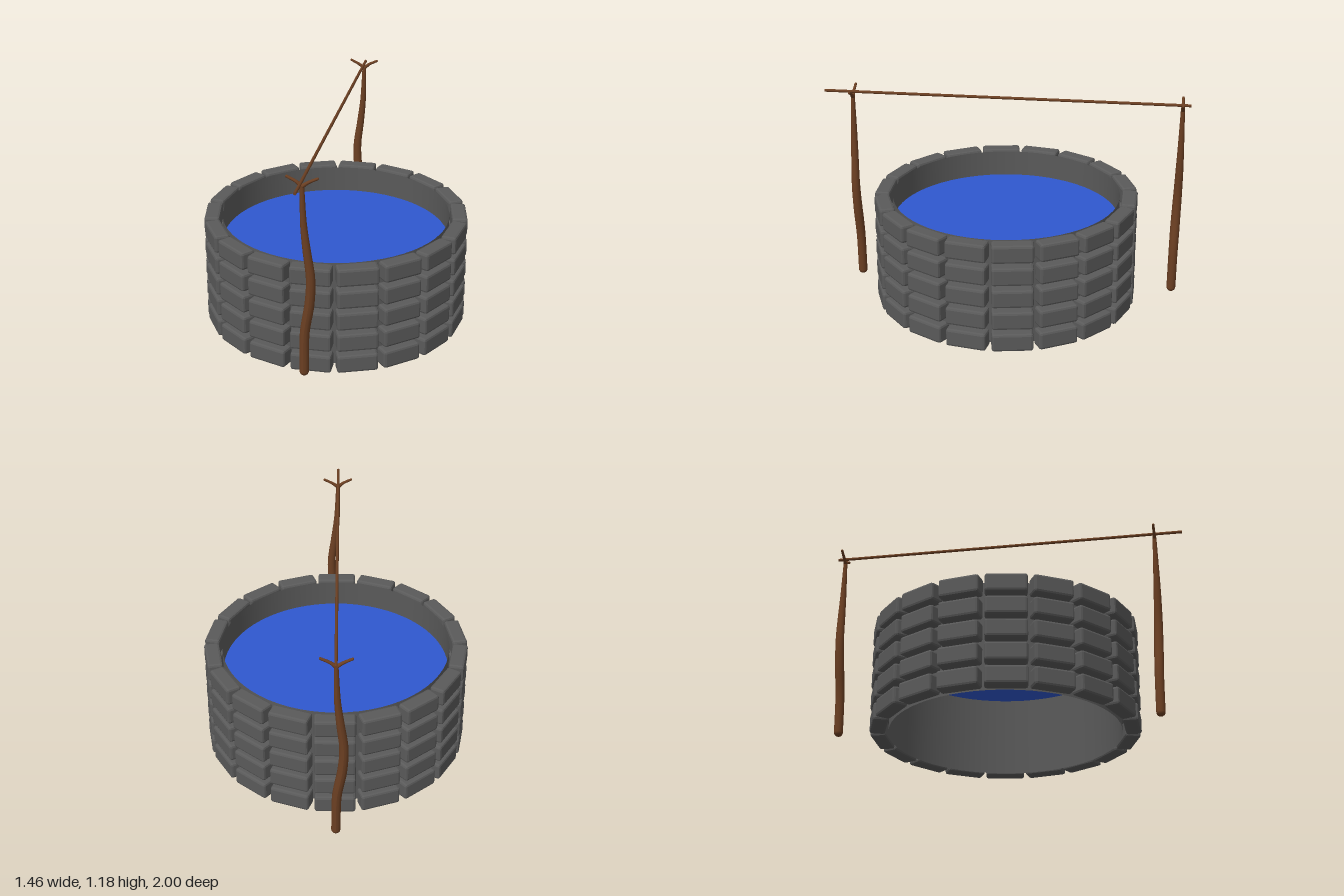
import * as THREE from 'three';
import { RoundedBoxGeometry } from 'three/addons/geometries/RoundedBoxGeometry.js';

const stoneMat = new THREE.MeshStandardMaterial({ color: 0x5a5a5a, flatShading: true });
const wallMat = new THREE.MeshStandardMaterial({ color: 0x5a5a5a, side: THREE.DoubleSide });
const waterMat = new THREE.MeshStandardMaterial({ color: 0x2f58cf, side: THREE.DoubleSide });
const woodMat = new THREE.MeshStandardMaterial({ color: 0x6b3f22 });

function add(parent, name, geometry, material, x = 0, y = 0, z = 0) {
  const mesh = new THREE.Mesh(geometry, material);
  mesh.name = name;
  mesh.position.set(x, y, z);
  parent.add(mesh);
  return mesh;
}

// Round limb along a curve whose radius follows a list of evenly spaced values
function limb(parent, name, points, radii) {
  const path = new THREE.CatmullRomCurve3(points.map(p => new THREE.Vector3(...p)));
  const rings = 32, sides = 14;
  const geo = new THREE.TubeGeometry(path, rings, 1, sides);
  const pos = geo.attributes.position;
  const v = new THREE.Vector3();
  for (let i = 0; i <= rings; i++) {
    const t = (i / rings) * (radii.length - 1);
    const k = Math.min(Math.floor(t), radii.length - 2);
    const r = THREE.MathUtils.lerp(radii[k], radii[k + 1], t - k);
    const c = path.getPointAt(i / rings);
    for (let j = 0; j <= sides; j++) {
      const n = i * (sides + 1) + j;
      v.fromBufferAttribute(pos, n).sub(c).multiplyScalar(r).add(c);
      pos.setXYZ(n, v.x, v.y, v.z);
    }
  }
  geo.computeVertexNormals();
  add(parent, name, geo, woodMat);
  // Rounded ends
  [[points[0], radii[0]], [points[points.length - 1], radii[radii.length - 1]]].forEach(([p, r]) =>
    add(parent, name + 'End', new THREE.SphereGeometry(r, 14, 10), woodMat, ...p));
}

// Crooked forked post, standing at its local origin
function makePost(name) {
  const post = new THREE.Group();
  post.name = name;
  limb(post, 'trunk', [
    [-0.008, 0.075, -0.01], [-0.003, 0.3, -0.008], [0.025, 0.48, -0.004], [0.032, 0.62, 0],
    [0.014, 0.78, 0.003], [0, 0.92, 0.004], [-0.006, 1.13, 0.004],
  ], [0.025, 0.025, 0.026, 0.024, 0.021, 0.016, 0.011]);
  limb(post, 'leftFork', [[-0.006, 1.125, 0.004], [0.025, 1.148, 0.004], [0.072, 1.172, 0.004]], [0.011, 0.008, 0.007]);
  limb(post, 'rightFork', [[-0.006, 1.125, 0.004], [-0.035, 1.15, 0.004], [-0.082, 1.174, 0.004]], [0.011, 0.008, 0.007]);
  return post;
}

export function createModel() {
  const model = new THREE.Group();
  model.name = 'well';

  const basin = new THREE.Group();
  basin.name = 'basin';
  basin.position.z = -0.008;
  model.add(basin);

  // Five courses of chamfered stones
  const perRow = 18, rows = 5, height = 0.1;
  const stoneGeo = new RoundedBoxGeometry(0.22, height, 0.085, 1, 0.013);
  for (let row = 0; row < rows; row++) {
    const course = new THREE.Group();
    course.name = 'stoneCourse' + (row + 1);
    course.position.y = height / 2 + row * 0.1275;
    for (let i = 0; i < perRow; i++) {
      const a = (i / perRow) * Math.PI * 2;
      const stone = add(course, 'stone', stoneGeo, stoneMat, Math.sin(a) * 0.683, 0, Math.cos(a) * 0.683);
      stone.rotation.y = a;
    }
    basin.add(course);
  }

  // Thin lining behind the stones, open below
  add(basin, 'innerWall', new THREE.CylinderGeometry(0.63, 0.63, 0.6, 64, 1, true), wallMat, 0, 0.303, 0);

  // Water surface
  const water = add(basin, 'water', new THREE.CircleGeometry(0.63, 64), waterMat, 0, 0.455, 0);
  water.rotation.x = -Math.PI / 2;

  // Two forked posts, one turned to face the other way
  const front = makePost('frontPost');
  front.position.z = 0.84;
  const back = makePost('backPost');
  back.position.set(-0.014, 0, -0.953);
  back.rotation.y = Math.PI;
  model.add(front, back);

  // Long pole resting in the forks
  const pole = add(model, 'pole', new THREE.CylinderGeometry(0.008, 0.008, 2, 12), woodMat, -0.007, 1.155, 0);
  pole.rotation.x = Math.PI / 2;

  return model;
}
